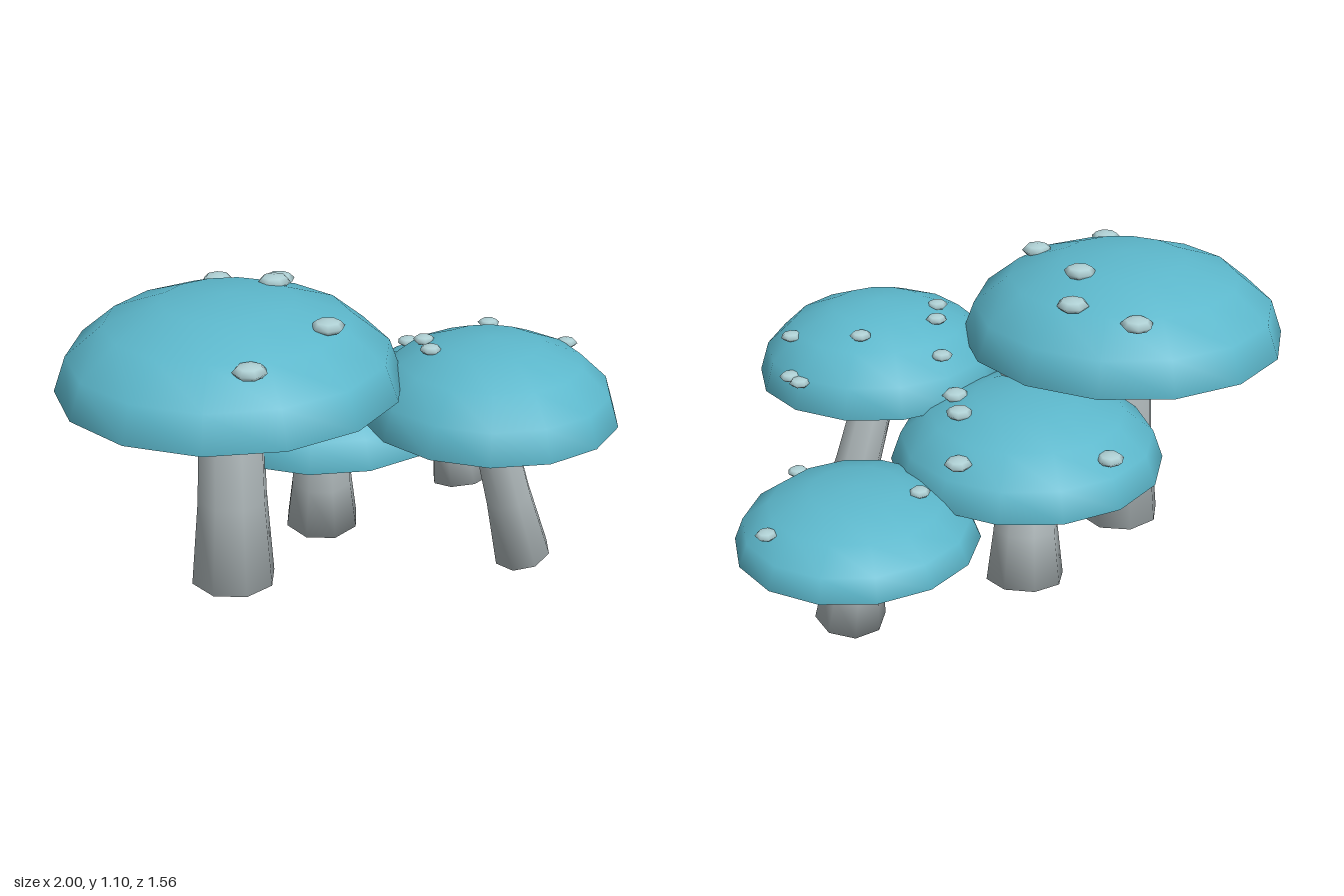
import * as THREE from 'three';

const SIDES = 14;

// Each mushroom: cap centre, rim height, radius, height; stem foot and radii; spots as [x, z]
const MUSHROOMS = [
  {
    name: 'tallMushroom', x: -0.44, z: 0.11, rim: 0.78, r: 0.574, h: 0.31,
    foot: [-0.453, 0.035, 0.11], footR: 0.15, neckR: 0.109, spotR: 0.056,
    spots: [[-0.35, -0.31], [-0.175, -0.16], [-0.245, 0], [-0.19, 0.36], [-0.505, 0.535]],
  },
  {
    name: 'middleMushroom', x: -0.02, z: -0.163, rim: 0.465, r: 0.47, h: 0.26,
    foot: [0, 0.015, -0.22], footR: 0.14, neckR: 0.103, spotR: 0.047,
    spots: [[-0.21, -0.505], [0.275, -0.42], [0.225, -0.21], [0.21, -0.075],
      [-0.26, 0.055], [-0.175, -0.155], [-0.015, 0.02]],
  },
  {
    name: 'leaningMushroom', x: 0.4, z: 0.335, rim: 0.63, r: 0.439, h: 0.272,
    foot: [0.583, 0.02, 0.295], footR: 0.105, neckR: 0.073, spotR: 0.038,
    spots: [[0.235, 0.025], [0.22, 0.19], [0.195, 0.3], [0.5, 0.115],
      [0.722, 0.275], [0.748, 0.12], [0.72, 0.075]],
  },
  {
    name: 'smallMushroom', x: 0.605, z: -0.38, rim: 0.36, r: 0.402, h: 0.195,
    foot: [0.64, 0.025, -0.33], footR: 0.12, neckR: 0.095, spotR: 0.036,
    spots: [[0.405, -0.43], [0.905, -0.495], [0.76, -0.07], [0.26, -0.28]],
  },
];

function makeMesh(name, geometry, material) {
  const mesh = new THREE.Mesh(geometry, material);
  mesh.name = name;
  return mesh;
}

function lathe(points, sides) {
  return new THREE.LatheGeometry(points.map(([x, y]) => new THREE.Vector2(x, y)), sides);
}

export function createModel() {
  const capBlue = new THREE.MeshStandardMaterial({ name: 'capBlue', color: 0x5cb7cb });
  const stemGrey = new THREE.MeshStandardMaterial({ name: 'stemGrey', color: 0xadb6b8 });
  const spotPale = new THREE.MeshStandardMaterial({ name: 'spotPale', color: 0xafd0d4 });

  // Unit half dome and matching disc with a corner at the front, shared by every cap
  const dome = new THREE.SphereGeometry(1, SIDES, 4, 0, Math.PI * 2, 0, Math.PI / 2);
  dome.rotateY(Math.PI / 2);
  const disc = new THREE.CircleGeometry(1, SIDES, Math.PI / 2);
  disc.rotateX(Math.PI / 2);
  const pebble = new THREE.SphereGeometry(1, 7, 4);

  const model = new THREE.Group();
  model.name = 'mushroomCluster';

  for (const m of MUSHROOMS) {
    const group = new THREE.Group();
    group.name = m.name;
    model.add(group);

    // Cap
    const cap = makeMesh('cap', dome, capBlue);
    cap.position.set(m.x, m.rim, m.z);
    cap.scale.set(m.r, m.h, m.r);
    group.add(cap);

    // Flat underside closing the cap
    const underside = makeMesh('underside', disc, stemGrey);
    underside.position.copy(cap.position);
    underside.scale.set(m.r, 1, m.r);
    group.add(underside);

    // Stem flaring towards the foot, leaning from foot to cap centre
    const foot = new THREE.Vector3(...m.foot);
    const axis = new THREE.Vector3(m.x, m.rim, m.z).sub(foot);
    const len = axis.length();
    const waist = m.neckR + (m.footR - m.neckR) * 0.35;
    const stem = makeMesh('stem', lathe([
      [0, 0], [m.footR, 0.005], [waist, len * 0.43], [m.neckR, len], [0, len],
    ], 8), stemGrey);
    stem.position.copy(foot);
    stem.quaternion.setFromUnitVectors(new THREE.Vector3(0, 1, 0), axis.normalize());
    group.add(stem);

    // Flat pebble spots resting on the dome
    m.spots.forEach(([x, z], i) => {
      const d = Math.min(1, Math.hypot(x - m.x, z - m.z) / m.r);
      const spot = makeMesh('spot', pebble, spotPale);
      spot.position.set(x, m.rim + m.h * Math.sqrt(1 - d * d) + 0.003, z);
      spot.scale.set(m.spotR, m.spotR * 0.42, m.spotR);
      spot.rotation.y = i * 1.3;
      group.add(spot);
    });
  }
  return model;
}
